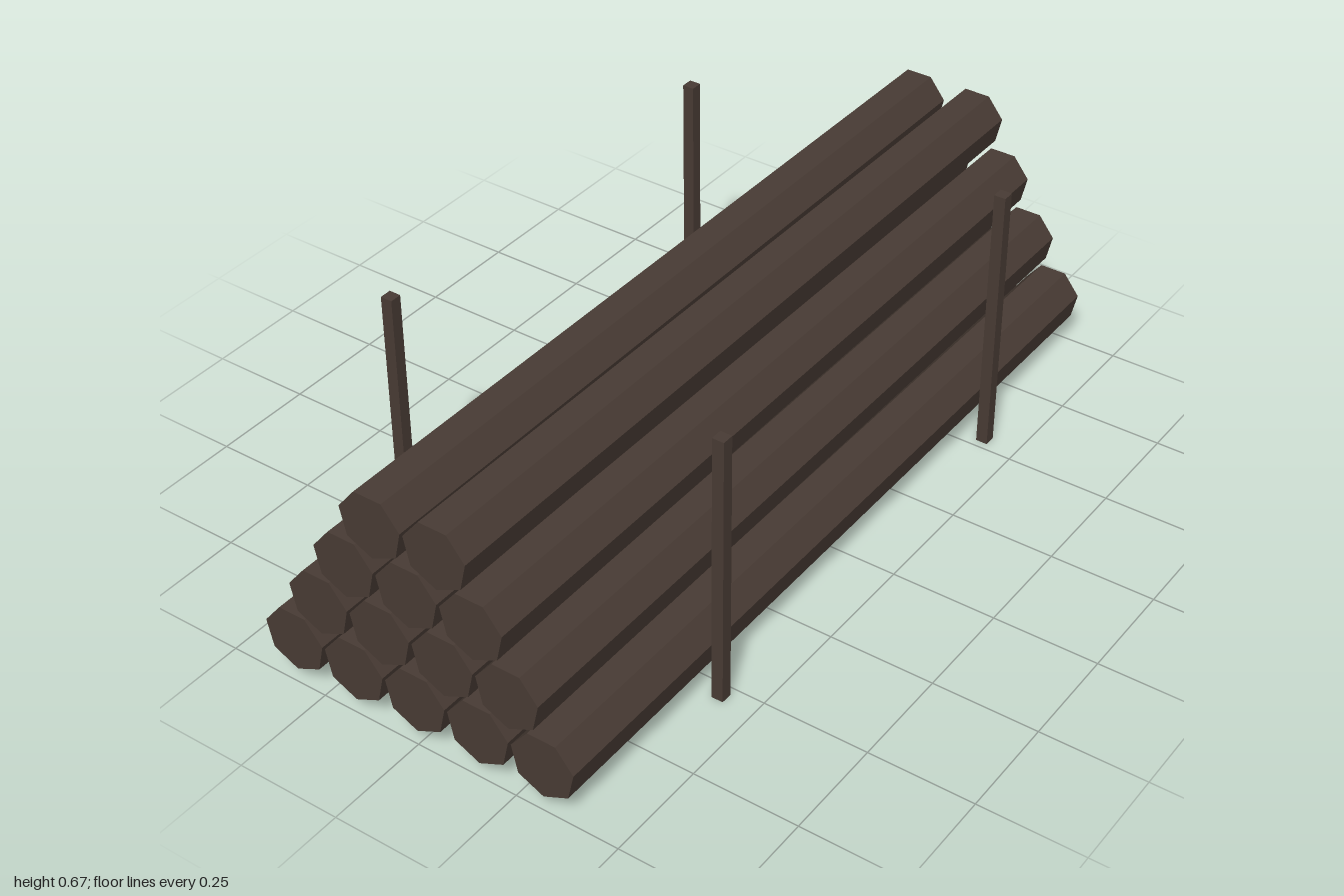
import * as THREE from 'three';

export function createModel() {
  const model = new THREE.Group();
  model.name = 'logPile';

  const wood = new THREE.MeshStandardMaterial({ color: 0x483b34 });
  wood.name = 'dark brown wood';

  // Seven-sided log lying along x, corner down, slightly thinner at +x
  const logShape = new THREE.CylinderGeometry(0.0735, 0.0785, 2, 7, 1, false, Math.PI / 2)
    .rotateZ(-Math.PI / 2)
    .toNonIndexed();
  logShape.computeVertexNormals();

  // Stacked rows of five, four, three and two logs
  const logs = new THREE.Group();
  logs.name = 'logs';
  [5, 4, 3, 2].forEach((count, row) => {
    for (let i = 0; i < count; i++) {
      const log = new THREE.Mesh(logShape, wood);
      log.name = `logRow${row + 1}Number${i + 1}`;
      log.position.set(0, 0.1155 + row * 0.1363, (i - (count - 1) / 2) * 0.16);
      logs.add(log);
    }
  });
  model.add(logs);

  // Four upright stakes holding the pile
  const stakeShape = new THREE.BoxGeometry(0.028, 0.667, 0.028);
  for (const x of [-1, 1]) {
    for (const z of [-1, 1]) {
      const stake = new THREE.Mesh(stakeShape, wood);
      stake.name = (z > 0 ? 'front' : 'back') + (x > 0 ? 'Left' : 'Right') + 'Stake';
      stake.position.set(x * 0.533, 0.3335, z * 0.415);
      model.add(stake);
    }
  }
  return model;
}
